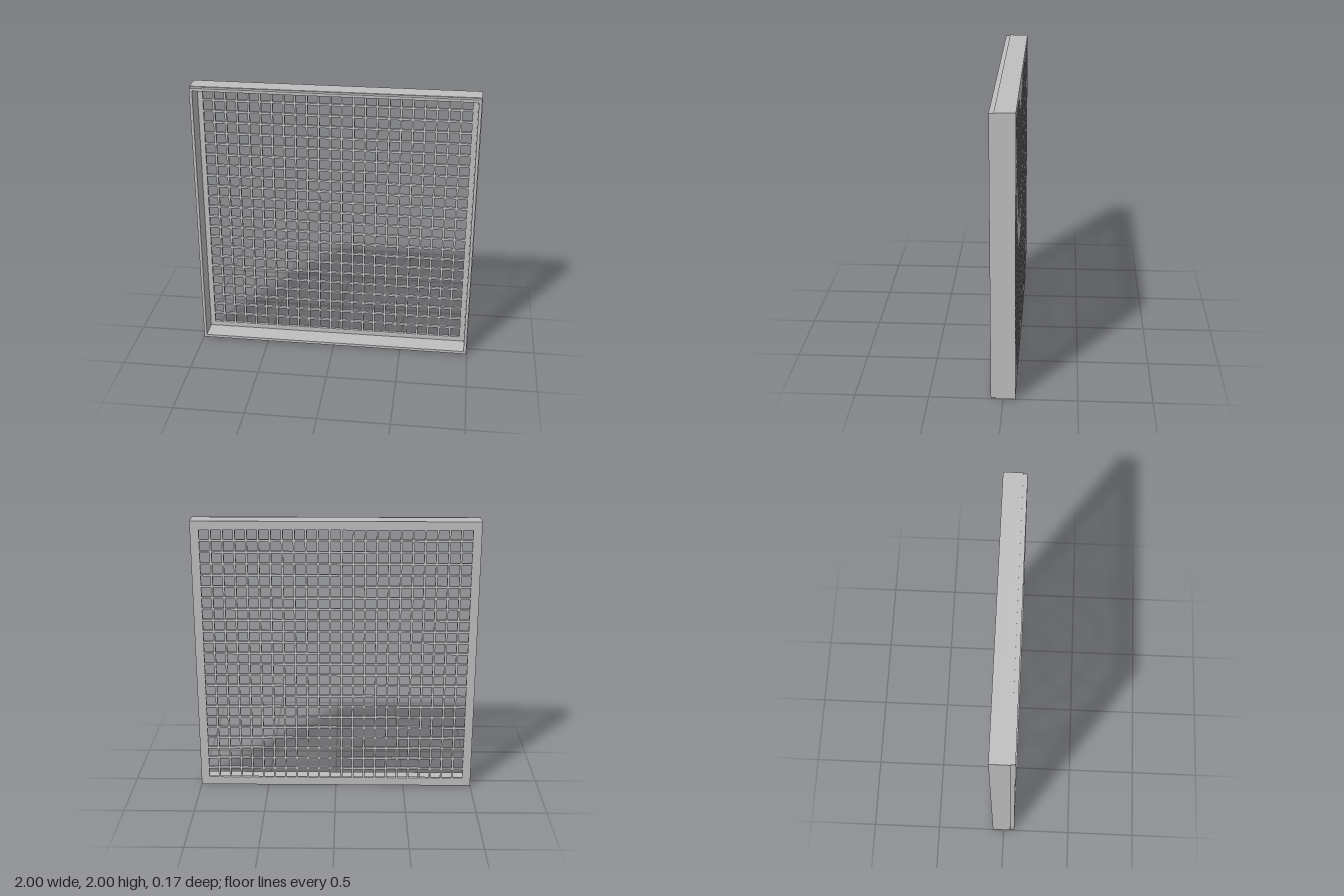
import * as THREE from 'three';

const HALF_DEPTH = 0.0825;   // half of the overall thickness
const GRID_FRONT = -0.0625;  // front face of the perforated sheet
const LIP_BACK = 0.052;      // where the slightly inset front lip starts
const INNER = 0.975;         // half width of the recess
const COUNT = 23;            // openings per row and column
const PITCH = 0.0823;
const HOLE = 0.068;

// Add a rectangle to a shape or path
function rect(path, cx, cy, w, h) {
  path.moveTo(cx - w / 2, cy - h / 2);
  path.lineTo(cx + w / 2, cy - h / 2);
  path.lineTo(cx + w / 2, cy + h / 2);
  path.lineTo(cx - w / 2, cy + h / 2);
  path.closePath();
  return path;
}

// Extrude a shape between two z planes
function slab(name, shape, z0, z1, material) {
  const geometry = new THREE.ExtrudeGeometry(shape, { depth: z1 - z0, bevelEnabled: false });
  geometry.translate(0, 1, z0);
  const mesh = new THREE.Mesh(geometry, material);
  mesh.name = name;
  return mesh;
}

// Square ring with the given outer half width
function ring(outer) {
  const shape = rect(new THREE.Shape(), 0, 0, outer * 2, outer * 2);
  shape.holes.push(rect(new THREE.Path(), 0, 0, INNER * 2, INNER * 2));
  return shape;
}

export function createModel() {
  const group = new THREE.Group();
  group.name = 'gridPanel';
  const grey = new THREE.MeshStandardMaterial({ color: 0xbfbfbf });
  grey.name = 'light grey';

  // Back sheet with square openings
  const sheet = rect(new THREE.Shape(), 0, 0, 2, 2);
  const mid = (COUNT - 1) / 2;
  for (let i = 0; i < COUNT; i++) {
    for (let j = 0; j < COUNT; j++) {
      sheet.holes.push(rect(new THREE.Path(), (i - mid) * PITCH, (j - mid) * PITCH, HOLE, HOLE));
    }
  }
  group.add(slab('gridSheet', sheet, -HALF_DEPTH, GRID_FRONT, grey));

  // Deep surrounding frame and its inset front lip
  group.add(slab('frame', ring(1), GRID_FRONT, LIP_BACK, grey));
  group.add(slab('frontLip', ring(0.995), LIP_BACK, HALF_DEPTH, grey));
  return group;
}
